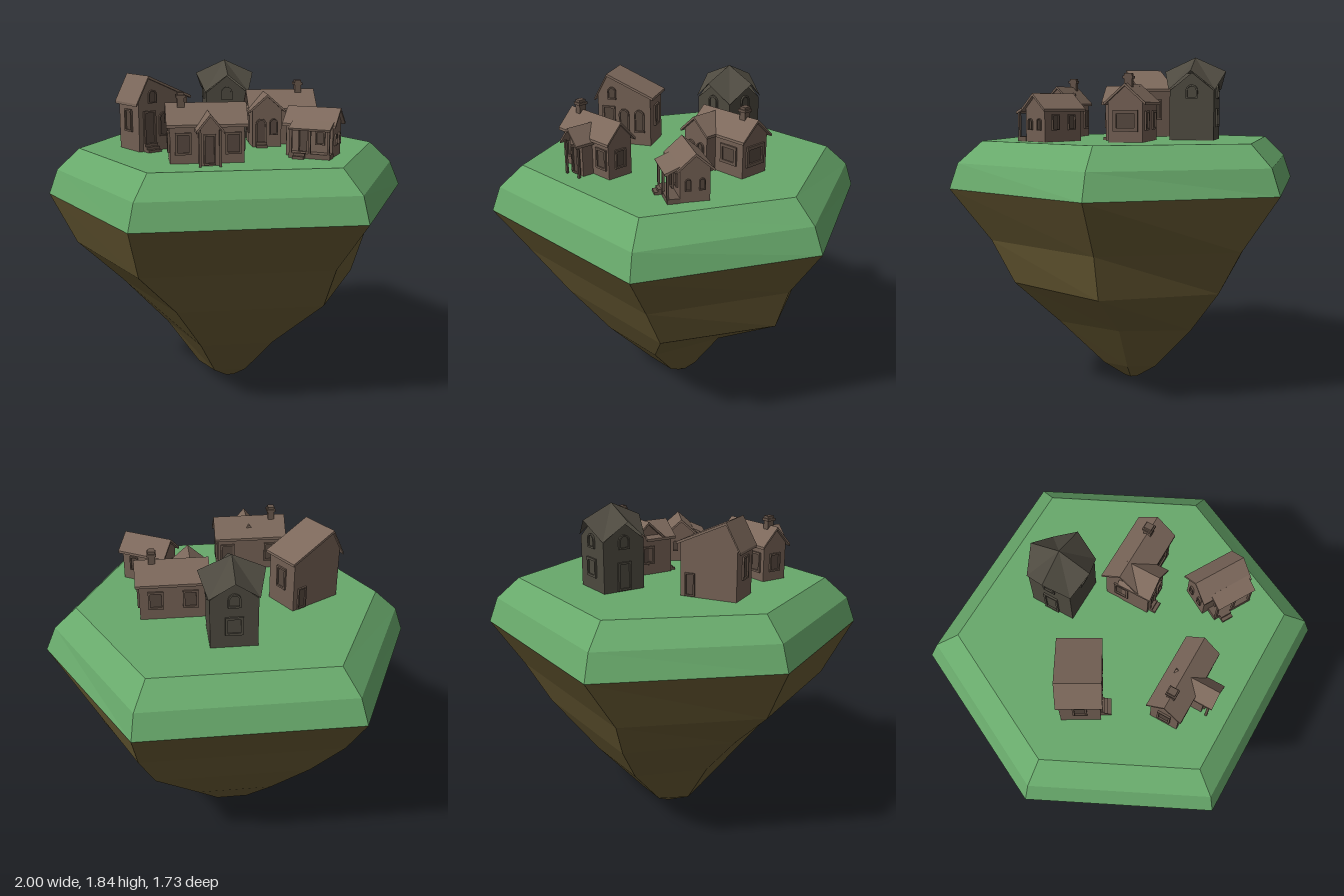
import * as THREE from 'three';

const mat = (color, extra = {}) => new THREE.MeshStandardMaterial({ color, flatShading: true, ...extra });
const GRASS = mat(0x68a96b), DIRT = mat(0x685a33);
const WALL = mat(0x725f53), ROOF = mat(0x7c685b), TRIM = mat(0x66554a), PANE = mat(0x55473e);
const STONE = mat(0x4c483e), SLATE = mat(0x4e4a40, { side: THREE.DoubleSide });
const GROUND = 1.39;

function add(parent, name, geometry, material, x = 0, y = 0, z = 0, ry = 0) {
  const mesh = new THREE.Mesh(geometry, material);
  mesh.name = name;
  mesh.position.set(x, y, z);
  mesh.rotation.y = ry;
  parent.add(mesh);
  return mesh;
}

const box = (parent, name, w, h, d, x, y, z, material = TRIM) =>
  add(parent, name, new THREE.BoxGeometry(w, h, d), material, x, y, z);

function group(parent, name, x = 0, y = 0, z = 0, ry = 0) {
  const g = new THREE.Group();
  g.name = name;
  g.position.set(x, y, z);
  g.rotation.y = ry;
  parent.add(g);
  return g;
}

// Extrusion along z, centred on z = 0
function prism(points, length) {
  const shape = new THREE.Shape(points.map(([x, y]) => new THREE.Vector2(x, y)));
  const g = new THREE.ExtrudeGeometry(shape, { depth: length, bevelEnabled: false });
  return g.translate(0, 0, -length / 2);
}

// Faceted solid through six-cornered rings: [y, left, right, FL, FR, BL, BR, zFront, zBack]
function rockGeometry(rings) {
  const loops = rings.map(([y, l, r, fl, fr, bl, br, zf, zb]) =>
    [[r, y, 0], [fr, y, zf], [fl, y, zf], [l, y, 0], [bl, y, zb], [br, y, zb]]);
  const pos = [];
  const tri = (...corners) => corners.forEach((c) => pos.push(...c));
  for (let k = 0; k + 1 < loops.length; k++) {
    const lo = loops[k], up = loops[k + 1];
    for (let i = 0; i < 6; i++) {
      const j = (i + 1) % 6;
      tri(lo[i], up[i], up[j]);
      tri(lo[i], up[j], lo[j]);
    }
  }
  const bottom = loops[0], top = loops[loops.length - 1];
  for (let i = 1; i < 5; i++) {
    tri(bottom[0], bottom[i], bottom[i + 1]);
    tri(top[0], top[i + 1], top[i]);
  }
  const g = new THREE.BufferGeometry();
  g.setAttribute('position', new THREE.Float32BufferAttribute(pos, 3));
  g.computeVertexNormals();
  return g;
}

// Outline of an opening, square or with a pointed round arch
function opening(Type, w, h, arch) {
  const s = new Type();
  s.moveTo(-w / 2, -h / 2);
  s.lineTo(w / 2, -h / 2);
  if (arch) {
    s.lineTo(w / 2, h / 2 - w / 2);
    s.absarc(0, h / 2 - w / 2, w / 2, 0, Math.PI, false);
  } else {
    s.lineTo(w / 2, h / 2);
    s.lineTo(-w / 2, h / 2);
  }
  s.closePath();
  return s;
}

// Framed window or door lying on a wall, facing the direction ry
function frame(parent, name, x, y, z, ry, w, h, arch = false, trim = TRIM, pane = PANE) {
  const g = group(parent, name, x, y, z, ry);
  const ring = opening(THREE.Shape, w, h, arch);
  ring.holes.push(opening(THREE.Path, w * 0.72, h - w * 0.28, arch));
  const options = { depth: 0.01, bevelEnabled: false, curveSegments: 5 };
  add(g, name + 'Frame', new THREE.ExtrudeGeometry(ring, options), trim);
  add(g, name + 'Pane', new THREE.ShapeGeometry(opening(THREE.Shape, w * 0.8, h - w * 0.2, arch), 5), pane, 0, 0, 0.002);
}

// Gabled walls with a slab roof; the ridge runs along local z and may sit off-centre
function gable(parent, name, { w, len, eave, ridge, peak = 0, over = 0.018, end = 0.018, walls = WALL, roof = ROOF }) {
  const h = w / 2, t = 0.014;
  add(parent, name + 'Walls', prism([[-h, 0], [h, 0], [h, eave], [peak, ridge], [-h, eave]], len), walls);
  if (!roof) return;
  const yl = eave - over * (ridge - eave) / (h + peak), yr = eave - over * (ridge - eave) / (h - peak);
  add(parent, name + 'Roof', prism([[-h - over, yl], [peak, ridge], [h + over, yr],
    [h + over, yr + t], [peak, ridge + t], [-h - over, yl + t]], len + 2 * end), roof);
}

function chimney(parent, x, z, base, top) {
  box(parent, 'chimney', 0.035, top - base, 0.04, x, (top + base) / 2, z);
  box(parent, 'chimneyCap', 0.048, 0.014, 0.052, x, top - 0.02, z);
}

function steps(parent, w, x, z, n = 3) {
  for (let i = 0; i < n; i++) box(parent, 'step', w, 0.014 * (n - i), 0.018, x, 0.007 * (n - i), z + 0.018 * i);
}

export function createModel() {
  const model = new THREE.Group();
  model.name = 'floatingIslandVillage';
  const Q = Math.PI / 2;

  // Island
  const rim = [1.14, -1, 1, -0.575, 0.57, -0.585, 0.55, 0.86, -0.865];
  add(model, 'islandRock', rockGeometry([
    [0, -0.03, 0.045, -0.02, 0.025, -0.02, 0.025, 0.035, -0.035],
    [0.087, -0.18, 0.13, -0.1, 0.08, -0.1, 0.08, 0.15, -0.155],
    [0.35, -0.36, 0.32, -0.2, 0.195, -0.21, 0.21, 0.38, -0.38],
    [0.62, -0.61, 0.735, -0.34, 0.435, -0.39, 0.45, 0.556, -0.56],
    [0.855, -0.86, 0.81, -0.53, 0.465, -0.54, 0.53, 0.673, -0.68], rim]), DIRT);
  add(model, 'grassTop', rockGeometry([rim,
    [1.275, -0.95, 0.94, -0.545, 0.545, -0.55, 0.53, 0.82, -0.82],
    [GROUND, -0.825, 0.815, -0.475, 0.47, -0.475, 0.465, 0.71, -0.71]]), GRASS);

  // Cottage with a gabled porch, front left
  const cottage = group(model, 'porchCottage', -0.17, GROUND, 0.438);
  gable(group(cottage, 'cottageMain', 0, 0, 0, Q), 'cottage', { w: 0.15, len: 0.37, eave: 0.2, ridge: 0.28 });
  gable(group(cottage, 'cottagePorch', 0.005, 0, 0.07), 'porch', { w: 0.1, len: 0.14, eave: 0.185, ridge: 0.245, end: 0.05 });
  for (const x of [-0.045, 0.055]) box(cottage, 'porchPost', 0.012, 0.18, 0.012, x, 0.09, 0.168);
  frame(cottage, 'door', 0.005, 0.08, 0.14, 0, 0.06, 0.15);
  for (const x of [-0.12, 0.13]) {
    frame(cottage, 'frontWindow', x, 0.1, 0.075, 0, 0.08, 0.11);
    frame(cottage, 'backWindow', x, 0.1, -0.075, Math.PI, 0.08, 0.11);
  }
  for (const s of [-1, 1]) frame(cottage, 'sideWindow', s * 0.185, 0.1, 0, s * Q, 0.07, 0.1);
  chimney(cottage, -0.125, 0, 0.22, 0.345);

  // House with a cross gable, right
  const house = group(model, 'crossGableHouse', 0.3, GROUND, -0.075);
  gable(group(house, 'houseMain', 0, 0, 0, Q), 'house', { w: 0.18, len: 0.35, eave: 0.205, ridge: 0.285 });
  gable(group(house, 'houseWing', -0.097, 0, 0.08), 'wing', { w: 0.16, len: 0.15, eave: 0.205, ridge: 0.275 });
  frame(house, 'door', -0.13, 0.08, 0.155, 0, 0.06, 0.15, true);
  frame(house, 'wingWindow', -0.06, 0.11, 0.155, 0, 0.045, 0.09, true);
  steps(house, 0.06, -0.13, 0.165, 2);
  frame(house, 'frontWindow', 0.08, 0.11, 0.09, 0, 0.11, 0.1);
  frame(house, 'sideWindow', 0.175, 0.11, 0, Q, 0.13, 0.11);
  frame(house, 'sideWindow', -0.175, 0.11, 0, -Q, 0.08, 0.1);
  for (const x of [-0.09, 0.09]) frame(house, 'backWindow', x, 0.11, -0.09, Math.PI, 0.08, 0.1);
  chimney(house, 0.1, 0, 0.23, 0.35);

  // Tall hall with a lopsided roof, left
  const hall = group(model, 'tallHall', -0.414, GROUND, 0, Math.PI / 6);
  gable(hall, 'hall', { w: 0.31, len: 0.2, eave: 0.275, ridge: 0.385, peak: -0.095, over: 0.018, end: 0.012 });
  for (const x of [0, 0.09]) frame(hall, 'archWindow', x, 0.14, 0.1, 0, 0.06, 0.13, true);
  frame(hall, 'atticWindow', -0.07, 0.29, 0.1, 0, 0.05, 0.07, true);
  frame(hall, 'door', -0.09, 0.12, 0.1, 0, 0.075, 0.19);
  steps(hall, 0.08, -0.09, 0.108);
  frame(hall, 'backDoor', 0.1, 0.065, -0.1, Math.PI, 0.055, 0.12);
  for (const s of [-1, 1]) frame(hall, 'sideWindow', s * 0.155, 0.16, 0, s * Q, 0.07, 0.12);

  // Small cabin with a lean-to porch, front right
  const cabin = group(model, 'smallCabin', 0.405, GROUND, 0.335, -Math.PI / 6);
  gable(group(cabin, 'cabinMain', 0, 0, -0.005, Q), 'cabin', { w: 0.15, len: 0.25, eave: 0.17, ridge: 0.235 });
  const leanTo = add(cabin, 'porchRoof', new THREE.BoxGeometry(0.22, 0.012, 0.085), ROOF, 0.02, 0.165, 0.105);
  leanTo.rotation.x = 0.4;
  box(cabin, 'porchFloor', 0.22, 0.025, 0.065, 0.02, 0.0125, 0.1);
  for (const x of [-0.08, 0.02, 0.12]) box(cabin, 'porchPost', 0.012, 0.14, 0.012, x, 0.08, 0.128);
  steps(cabin, 0.06, -0.03, 0.14, 2);
  frame(cabin, 'door', -0.03, 0.085, 0.07, 0, 0.055, 0.13);
  frame(cabin, 'frontWindow', 0.06, 0.1, 0.07, 0, 0.05, 0.07);
  for (const s of [-1, 1]) {
    for (const z of [-0.04, 0.03]) frame(cabin, 'gableWindow', s * 0.125, 0.09, z, s * Q, 0.03, 0.06, true);
    frame(cabin, 'backWindow', s * 0.055, 0.1, -0.08, Math.PI, 0.05, 0.08);
  }

  // Square stone tower with four gables, back
  const tower = group(model, 'stoneTower', 0.02, GROUND, -0.36);
  for (let i = 0; i < 4; i++) {
    const side = group(tower, 'towerSide', 0, 0, 0, i * Q);
    if (i < 2) gable(side, 'tower', { w: 0.24, len: 0.24, eave: 0.265, ridge: 0.36, walls: STONE, roof: null });
    frame(side, 'towerArch', 0, 0.26, 0.12, 0, 0.065, 0.075, true, SLATE, STONE);
    if (i === 2) frame(side, 'towerWindow', 0, 0.12, 0.12, 0, 0.09, 0.1, false, SLATE, STONE);
    if (i === 3) frame(side, 'towerDoor', 0, 0.08, 0.12, 0, 0.08, 0.15, false, SLATE, STONE);
  }
  const roofPos = [];
  const eavePoint = (i) => {
    const a = i * Math.PI / 4, r = i % 2 ? 0.178 : 0.168;
    return [Math.sin(a) * r, i % 2 ? 0.27 : 0.37, Math.cos(a) * r];
  };
  for (let i = 0; i < 8; i++) roofPos.push(0, 0.445, 0, ...eavePoint(i), ...eavePoint(i + 1));
  const roofGeometry = new THREE.BufferGeometry();
  roofGeometry.setAttribute('position', new THREE.Float32BufferAttribute(roofPos, 3));
  roofGeometry.computeVertexNormals();
  add(tower, 'towerRoof', roofGeometry, SLATE);

  return model;
}
